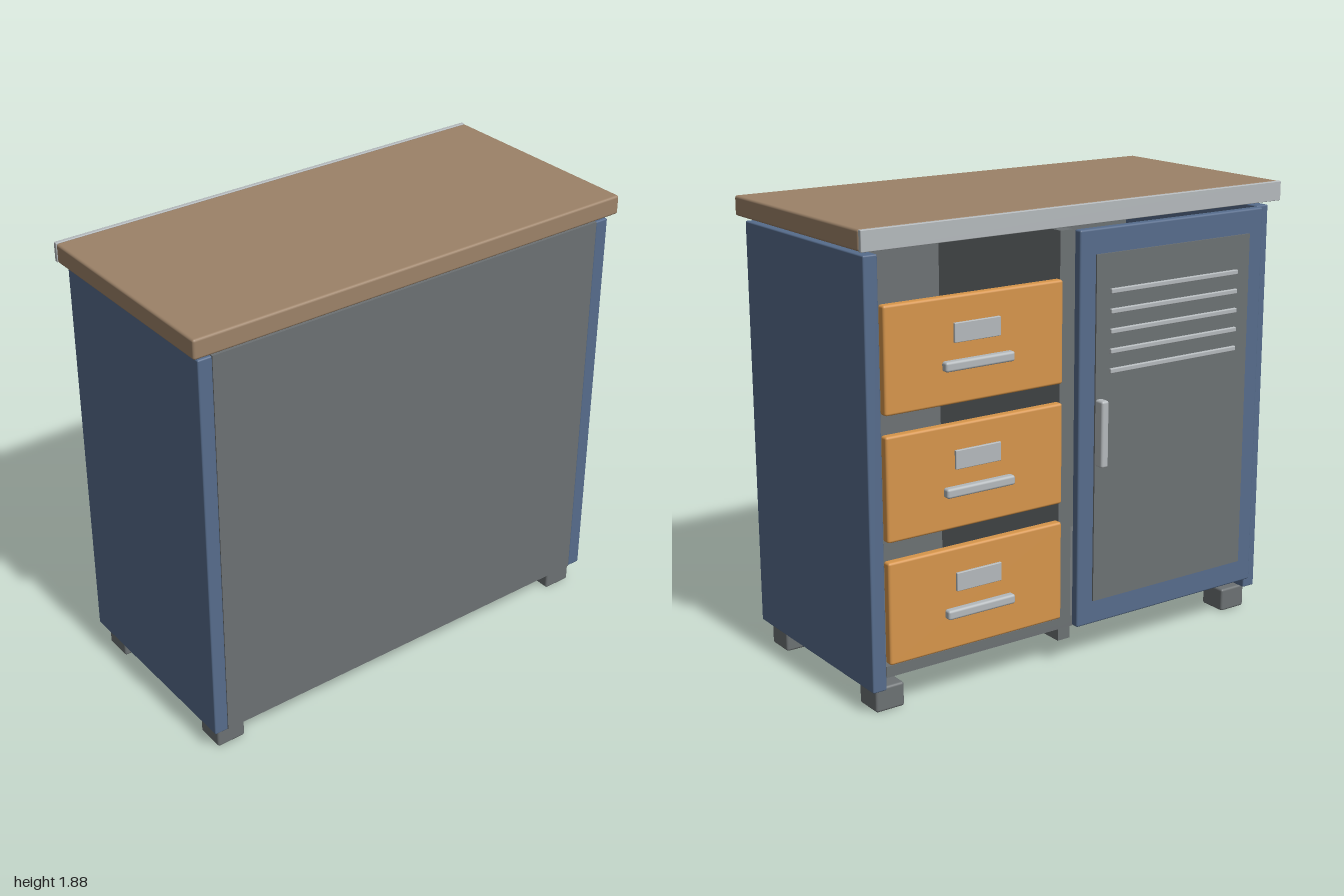
import * as THREE from 'three';
import { RoundedBoxGeometry } from 'three/addons/geometries/RoundedBoxGeometry.js';

const paint = (color) => new THREE.MeshStandardMaterial({ color });

export function createModel() {
  const model = new THREE.Group();
  const blue = paint(0x566c8c), grey = paint(0x6c7173), orange = paint(0xd6954b);
  const wood = paint(0x9c8268), steel = paint(0xb4b9bc);

  // Softly bevelled box given by its limits along each axis
  function block(name, material, [x0, x1], [y0, y1], [z0, z1], bevel = 0.006, parent = model) {
    const w = x1 - x0, h = y1 - y0, d = z1 - z0;
    const geometry = bevel
      ? new RoundedBoxGeometry(w, h, d, 2, Math.min(bevel, Math.min(w, h, d) * 0.45))
      : new THREE.BoxGeometry(w, h, d);
    const mesh = new THREE.Mesh(geometry, material);
    mesh.name = name;
    mesh.position.set((x0 + x1) / 2, (y0 + y1) / 2, (z0 + z1) / 2);
    parent.add(mesh);
    return mesh;
  }

  // Worktop with a metal edge strip on the working side
  block('worktop', wood, [-1, 1], [1.8, 1.88], [-0.437, 0.51], 0.01);
  block('worktopEdge', steel, [-1, 1], [1.8, 1.88], [-0.455, -0.437], 0.003);

  // Carcass: two sides, closed panel, floor and divider
  for (const [name, s] of [['leftSide', 1], ['rightSide', -1]]) {
    block(name, blue, s > 0 ? [0.91, 0.97] : [-0.97, -0.91], [0.1, 1.78], [-0.415, 0.485]);
  }
  block('closedPanel', grey, [-0.91, 0.91], [0.1, 1.78], [0.44, 0.485], 0);
  block('floor', grey, [-0.91, 0.91], [0.15, 0.195], [-0.413, 0.44], 0);
  block('divider', grey, [0.04, 0.1], [0.1, 1.78], [-0.413, 0.44], 0);

  // Square feet at the four corners
  for (const x of [-0.877, 0.877]) {
    for (const z of [-0.322, 0.392]) {
      block('foot', grey, [x - 0.063, x + 0.063], [0, 0.1], [z - 0.063, z + 0.063], 0.01);
    }
  }

  // Three drawer fronts, each with a label plate and a bar handle
  for (let i = 0; i < 3; i++) {
    const drawer = new THREE.Group();
    drawer.name = 'drawer' + (i + 1);
    drawer.position.set(0.515, 1.395 - i * 0.4875, 0);
    block('drawerFront', orange, [-0.4, 0.4], [-0.205, 0.205], [-0.455, -0.415], 0.01, drawer);
    block('labelPlate', steel, [-0.103, 0.103], [0.03, 0.105], [-0.465, -0.45], 0.003, drawer);
    block('drawerHandle', steel, [-0.155, 0.155], [-0.072, -0.033], [-0.486, -0.45], 0.01, drawer);
    model.add(drawer);
  }

  // Door with an inset panel, five louvre bars and an upright handle
  const door = new THREE.Group();
  door.name = 'door';
  block('doorFrame', blue, [-0.905, 0.035], [0.155, 1.78], [-0.455, -0.416], 0.008, door);
  block('doorPanel', grey, [-0.83, -0.04], [0.255, 1.68], [-0.462, -0.45], 0, door);
  for (let i = 0; i < 5; i++) {
    const y = 1.53 - i * 0.08;
    block('louvre', steel, [-0.763, -0.107], [y - 0.01, y + 0.01], [-0.473, -0.455], 0.004, door);
  }
  block('doorHandle', steel, [-0.073, -0.038], [0.83, 1.105], [-0.51, -0.46], 0.01, door);
  model.add(door);

  return model;
}
